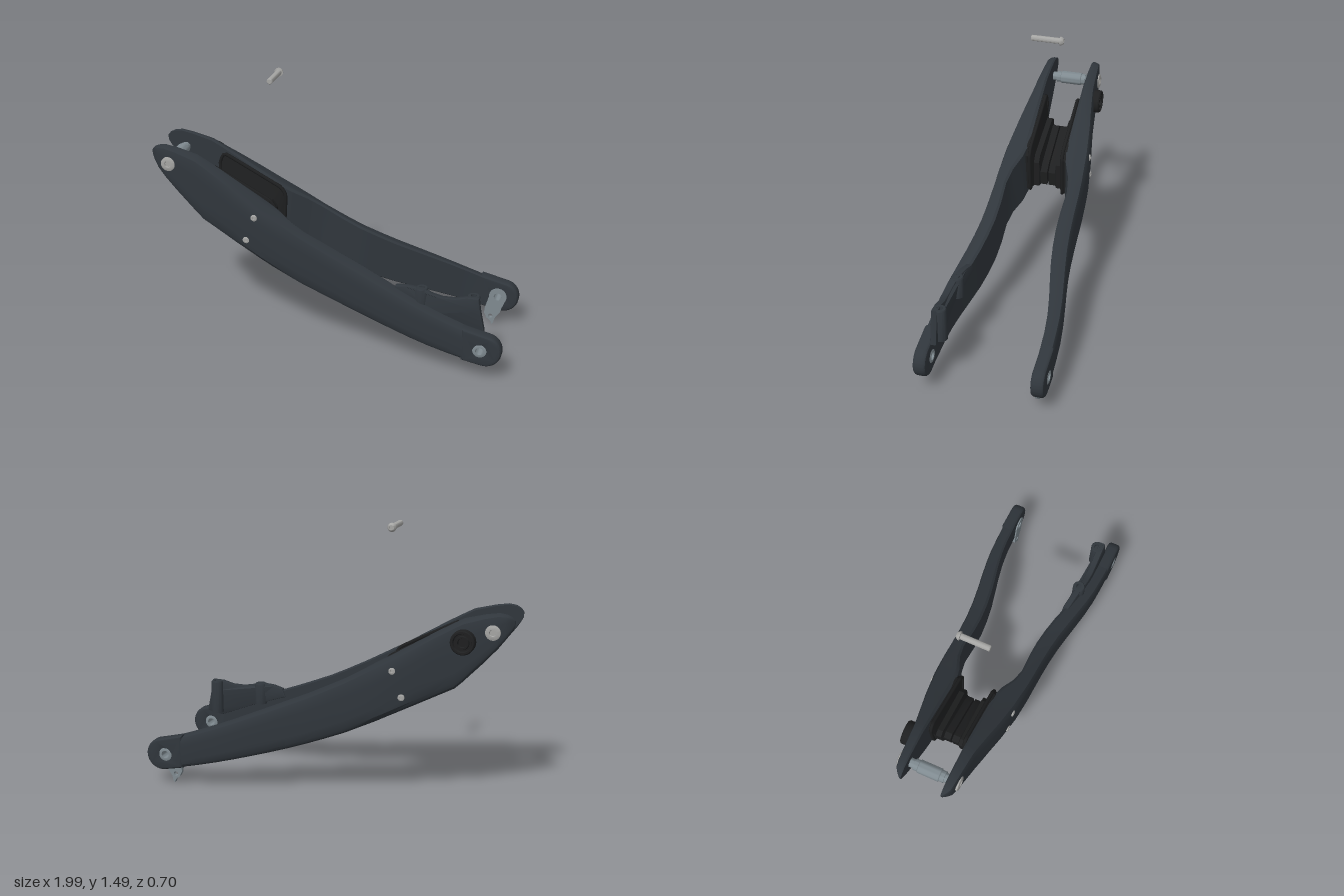
import * as THREE from 'three';
import { toCreasedNormals } from 'three/addons/utils/BufferGeometryUtils.js';

const mat = (color) => new THREE.MeshStandardMaterial({ color, side: THREE.DoubleSide });
const V2 = (p) => new THREE.Vector2(p[0], p[1]);

export function createModel() {
  const root = new THREE.Group();
  root.name = 'swingarm';
  const carbon = mat(0x30363c), rubber = mat(0x1e1f20), steel = mat(0x7f8a90), bright = mat(0xa5a5a3);

  const add = (name, geo, material, x = 0, y = 0, z = 0) => {
    const m = new THREE.Mesh(geo, material);
    m.name = name;
    m.position.set(x, y, z);
    root.add(m);
    return m;
  };

  // Skin a list of equal-length rings and cap both ends, facing outwards
  function loft(rings, crease = 0.5) {
    const n = rings[0].length, pos = rings.flat(2), idx = [];
    for (let r = 0; r < rings.length - 1; r++) {
      for (let k = 0; k < n; k++) {
        const a = r * n + k, b = r * n + (k + 1) % n;
        idx.push(a, b, b + n, a, b + n, a + n);
      }
    }
    [0, rings.length - 1].forEach((r, end) => {
      const c = pos.length / 3;
      for (let j = 0; j < 3; j++) pos.push(rings[r].reduce((s, p) => s + p[j], 0) / n);
      for (let k = 0; k < n; k++) {
        const a = r * n + k, b = r * n + (k + 1) % n;
        if (end) idx.push(a, b, c); else idx.push(b, a, c);
      }
    });
    // A negative volume means the winding is inside out
    const v = (i) => new THREE.Vector3().fromArray(pos, i * 3);
    let vol = 0;
    for (let i = 0; i < idx.length; i += 3) vol += v(idx[i]).dot(v(idx[i + 1]).cross(v(idx[i + 2])));
    if (vol < 0) idx.reverse();
    const g = new THREE.BufferGeometry();
    g.setAttribute('position', new THREE.Float32BufferAttribute(pos, 3));
    g.setIndex(idx);
    return toCreasedNormals(g, crease);
  }

  // Turned part whose axis points along z (dir +1 or -1)
  function turned(name, profile, material, x, y, z, dir = 1) {
    const g = toCreasedNormals(new THREE.LatheGeometry(profile.map(V2), 28), 0.6);
    add(name, g, material, x, y, z).rotation.x = dir * Math.PI / 2;
  }
  const head = (r, h) => [[0, h * 0.3], [r * 0.4, h * 0.3], [r * 0.45, h], [r * 0.8, h], [r, h * 0.6], [r, -0.02]];

  // Arm stations: x, top, bottom, inner z, outer z
  const stations = [
    [-1, 1.03, 1.0, 0.11, 0.12], [-0.985, 1.048, 0.972, 0.11, 0.135], [-0.96, 1.06, 0.935, 0.11, 0.153],
    [-0.92, 1.066, 0.883, 0.11, 0.16], [-0.85, 1.055, 0.805, 0.11, 0.166], [-0.74, 1.027, 0.692, 0.11, 0.176],
    [-0.7, 1.006, 0.655, 0.11, 0.181], [-0.6, 0.95, 0.605, 0.11, 0.2], [-0.5, 0.89, 0.555, 0.11, 0.22],
    [-0.35, 0.8, 0.48, 0.11, 0.243], [-0.28, 0.762, 0.445, 0.125, 0.247], [-0.2, 0.715, 0.41, 0.16, 0.25],
    [-0.12, 0.67, 0.373, 0.175, 0.251], [0, 0.61, 0.325, 0.17, 0.255], [0.1, 0.562, 0.288, 0.172, 0.261],
    [0.2, 0.52, 0.255, 0.182, 0.272], [0.3, 0.478, 0.226, 0.198, 0.288], [0.4, 0.438, 0.2, 0.22, 0.306],
    [0.5, 0.398, 0.175, 0.243, 0.323], [0.6, 0.36, 0.151, 0.262, 0.335], [0.7, 0.324, 0.128, 0.273, 0.341],
    [0.82, 0.283, 0.102, 0.278, 0.346],
  ];
  const section = ([x, t, b, i, o], s) => {
    const h = t - b, w = o - i;
    return [
      [t, i + 0.15 * w], [t - 0.01 * h, i + 0.4 * w], [t - 0.07 * h, o - 0.12 * w], [t - 0.15 * h, o - 0.03 * w],
      [t - 0.3 * h, o], [b + 0.25 * h, o], [b + 0.1 * h, o - 0.04 * w], [b + 0.04 * h, o - 0.15 * w],
      [b, o - 0.4 * w], [b, i + 0.2 * w], [b + 0.05 * h, i], [t - 0.03 * h, i],
    ].map(([y, z]) => [x, y, s * z]);
  };

  // Pad outlines, from the mounting rim towards the middle
  const rim = [[-0.69, 0.9], [-0.66, 0.955], [-0.34, 0.79], [-0.31, 0.74], [-0.33, 0.515], [-0.67, 0.685]];
  const padBase = [[-0.675, 0.8], [-0.645, 0.82], [-0.38, 0.72], [-0.35, 0.68], [-0.36, 0.525], [-0.66, 0.68]];
  const padFace = [[-0.66, 0.765], [-0.63, 0.785], [-0.4, 0.66], [-0.36, 0.62], [-0.37, 0.535], [-0.65, 0.68]];
  const level = (outline, z) => outline.map(([x, y]) => [x, y, z]);

  for (const s of [1, -1]) {
    const side = s > 0 ? 'left' : 'right';
    add(side + 'Arm', loft(stations.map((st) => section(st, s))), carbon);

    // Rounded dropout with a through hole
    const tip = new THREE.Shape([V2([0.78, 0.109]), V2([0.885, 0.089])]);
    tip.absarc(0.906, 0.176, 0.089, -1.79, 1.25, false);
    tip.lineTo(0.78, 0.297);
    tip.holes.push(new THREE.Path().absarc(0.88, 0.18, 0.024, 0, Math.PI * 2, true));
    const tipGeo = new THREE.ExtrudeGeometry(tip, {
      depth: 0.034, bevelThickness: 0.018, bevelSize: 0.016, bevelOffset: -0.016, bevelSegments: 3, curveSegments: 20,
    });
    add(side + 'Dropout', toCreasedNormals(tipGeo, 0.5), carbon, 0, 0, s * 0.312 - 0.017);
    turned(side + 'AxleBushing', [[0.021, -0.038], [0.021, 0.037], [0.032, 0.037], [0.042, 0.032], [0.042, -0.032],
      [0.032, -0.038], [0.021, -0.038]], steel, 0.88, 0.18, s * 0.312, s);

    // Bolts on the outer face
    turned(side + 'PivotCap', head(0.04, 0.01), bright, -0.895, 0.97, s * 0.162, s);
    turned(side + 'UpperBolt', head(0.018, 0.006), bright, -0.385, 0.742, s * 0.237, s);
    turned(side + 'LowerBolt', head(0.018, 0.006), bright, -0.435, 0.602, s * 0.231, s);

    // Bridge pad bolted to the inner face
    add(side + 'BridgePad', loft([level(rim, s * 0.118), level(rim, s * 0.095), level(padBase, s * 0.08),
      level(padBase, s * 0.05), level(padFace, s * 0.042), level(padFace, s * 0.004)], 0.3), rubber);
    const edge = new THREE.CatmullRomCurve3(level(rim, s * 0.095).map((p) => new THREE.Vector3(...p)), true, 'catmullrom', 0.1);
    add(side + 'PadRim', new THREE.TubeGeometry(edge, 72, 0.01, 6, true), rubber);
  }

  // Pivot spacer between the front ends
  turned('pivotSpacer', [[0, -0.13], [0.025, -0.13], [0.025, -0.085], [0.031, -0.085], [0.031, -0.062], [0.036, -0.058],
    [0.036, 0.058], [0.031, 0.062], [0.031, 0.085], [0.025, 0.085], [0.025, 0.13], [0, 0.13]], steel, -0.895, 0.97, 0);

  // Round cover on the right arm
  turned('roundCover', [[0, 0.022], [0.022, 0.022], [0.025, 0.034], [0.034, 0.034], [0.037, 0.024], [0.046, 0.024],
    [0.05, 0.036], [0.06, 0.036], [0.065, 0.03], [0.065, -0.01]], rubber, -0.747, 0.915, -0.178, -1);

  // Loose bolt above the frame
  turned('looseBolt', [[0, 0.088], [0.013, 0.088], [0.016, 0.084], [0.016, -0.07], [0.024, -0.072], [0.023, -0.08],
    [0.015, -0.091], [0.009, -0.092], [0.009, -0.08], [0, -0.08]], bright, -0.33, 1.467, 0);

  // Mounting bracket on top of the left arm
  const bracket = new THREE.Shape([[0.38, 0.4], [0.4, 0.445], [0.46, 0.458], [0.56, 0.46], [0.6, 0.442], [0.66, 0.43],
    [0.73, 0.432], [0.79, 0.448], [0.855, 0.45], [0.865, 0.38], [0.89, 0.26], [0.8, 0.24], [0.6, 0.32]].map(V2));
  const bracketGeo = new THREE.ExtrudeGeometry(bracket, {
    depth: 0.022, bevelThickness: 0.006, bevelSize: 0.006, bevelOffset: -0.006, bevelSegments: 2,
  });
  // Shear the plate so it follows the arm's inward curve
  const bp = bracketGeo.attributes.position;
  for (let i = 0; i < bp.count; i++) bp.setZ(i, bp.getZ(i) - Math.max(0, 0.62 - bp.getX(i)) * 0.18);
  add('mountBracket', toCreasedNormals(bracketGeo, 0.5), carbon, 0, 0, 0.256);
  [[0.545, 0.46, 0.12], [0.822, 0.45, 0.19]].forEach(([x, top, h]) => {
    const profile = [[0, h - 0.02], [0.014, h - 0.02], [0.016, h], [0.03, h], [0.034, h - 0.006], [0.036, 0], [0, 0]];
    add('bracketBoss', toCreasedNormals(new THREE.LatheGeometry(profile.map(V2), 20), 0.6), carbon, x, top - h, 0.246);
  });

  // Hanger plate inside the right dropout
  const hanger = new THREE.Shape();
  hanger.absarc(0.88, 0.18, 0.05, -0.2, Math.PI + 0.1, false);
  [[0.81, 0.1], [0.808, 0.07], [0.822, 0.04], [0.845, 0.022], [0.853, 0.001], [0.862, 0.012], [0.868, 0.04],
    [0.898, 0.085], [0.905, 0.11]].forEach((p) => hanger.lineTo(...p));
  for (const [x, y, r] of [[0.88, 0.18, 0.022], [0.845, 0.054, 0.013]]) {
    hanger.holes.push(new THREE.Path().absarc(x, y, r, 0, Math.PI * 2, true));
  }
  const hangerGeo = new THREE.ExtrudeGeometry(hanger, { depth: 0.024, bevelEnabled: false, curveSegments: 20 });
  add('hanger', toCreasedNormals(hangerGeo, 0.5), steel, 0, 0, -0.294);

  return root;
}
